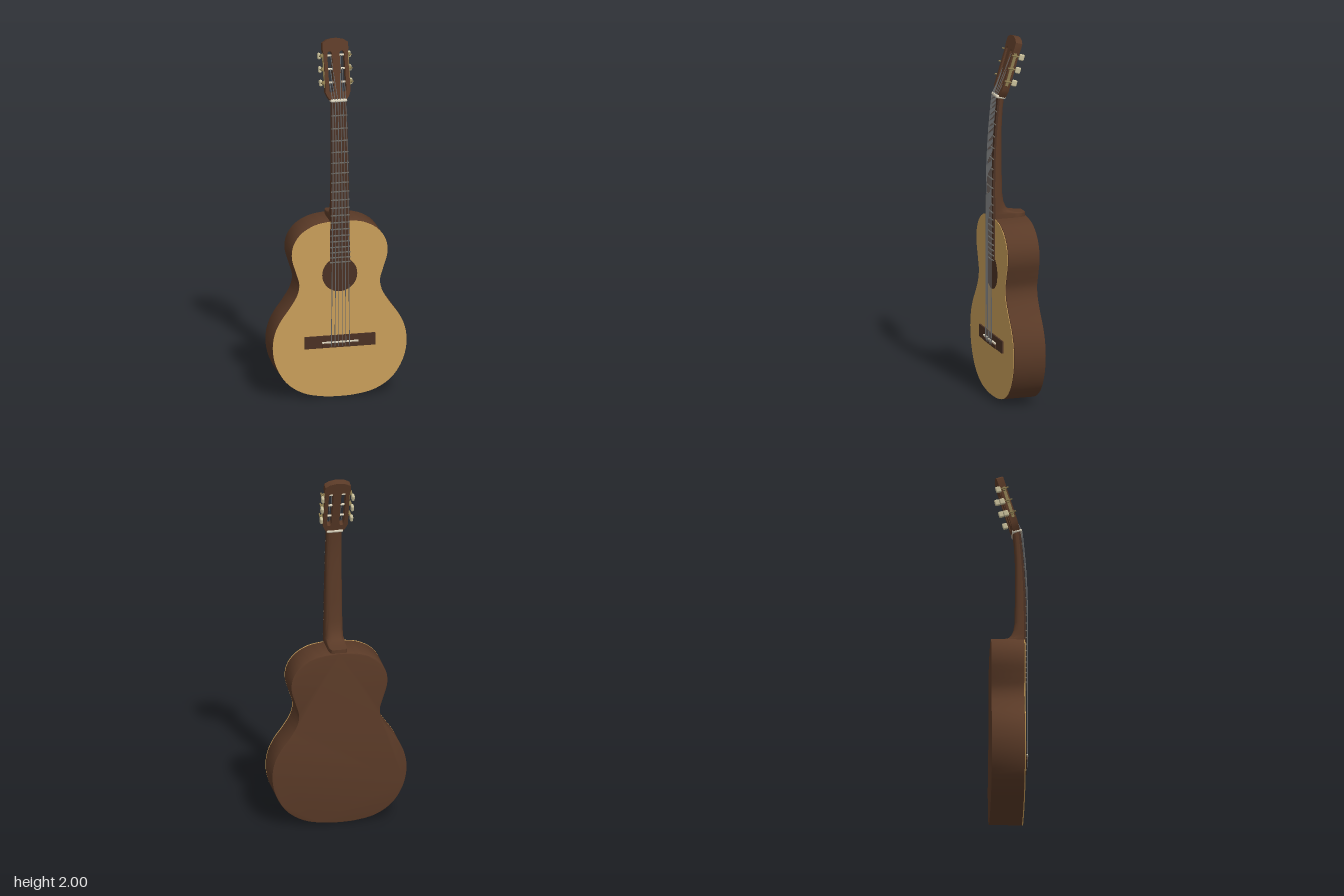
import * as THREE from 'three';
import { toCreasedNormals } from 'three/addons/utils/BufferGeometryUtils.js';
import { RoundedBoxGeometry } from 'three/addons/geometries/RoundedBoxGeometry.js';

const mat = (name, color) => Object.assign(new THREE.MeshStandardMaterial({ color }), { name });

// Solid through a list of closed loops, each counter-clockwise seen from above
function loft(loops) {
  const n = loops[0].length, pos = loops.flat(2), idx = [];
  for (let i = 0; i < loops.length - 1; i++) {
    for (let j = 0; j < n; j++) {
      const k = (j + 1) % n, a = i * n + j, b = i * n + k;
      idx.push(a, b, b + n, a, b + n, a + n);
    }
  }
  const top = (loops.length - 1) * n;
  for (let j = 1; j < n - 1; j++) idx.push(0, j + 1, j, top, top + j, top + j + 1);
  const g = new THREE.BufferGeometry();
  g.setAttribute('position', new THREE.Float32BufferAttribute(pos, 3));
  g.setIndex(idx);
  return toCreasedNormals(g, 0.7);
}

// Mirrored outline from right-hand points, bottom to top, smoothed by a spline
function outline(points, divisions) {
  const right = points.map(([x, y]) => new THREE.Vector3(x, y, 0));
  const left = points.slice(1, -1).reverse().map(([x, y]) => new THREE.Vector3(-x, y, 0));
  const curve = new THREE.CatmullRomCurve3([...right, ...left], true);
  return new THREE.Shape(curve.getPoints(divisions).slice(0, -1).map(p => new THREE.Vector2(p.x, p.y)));
}

// Front surface of the fingerboard and half width of the neck at height y
const NUT = 1.67, SADDLE = 0.315;
const frontZ = y => 0.09 - 0.111 * Math.max(0, y - 1.15) ** 2;
const halfW = y => 0.042 + (NUT - y) * 0.0145;

export function createModel() {
  const wood = mat('brown wood', 0x5a3a27);
  const spruce = mat('light top wood', 0xc99e5a);
  const dark = mat('dark fingerboard wood', 0x4a3124);
  const ivory = mat('ivory', 0xd9d1bb);
  const button = mat('tuner button cream', 0xc6bd98);
  const brass = mat('brass', 0x8c7c50);
  const steel = mat('fret metal', 0x6f6a62);
  const wire = mat('string grey', 0x6c6d6e);

  const guitar = new THREE.Group();
  guitar.name = 'guitar';
  const add = (name, geo, m, x = 0, y = 0, z = 0, parent = guitar) => {
    const mesh = new THREE.Mesh(geo, m);
    mesh.name = name;
    mesh.position.set(x, y, z);
    parent.add(mesh);
    return mesh;
  };

  // Body and its pale top plate
  const bodyShape = outline([[0, 0.002], [0.1, 0.008], [0.2, 0.032], [0.29, 0.092], [0.35, 0.19], [0.37, 0.29],
    [0.358, 0.38], [0.325, 0.45], [0.275, 0.52], [0.234, 0.59], [0.223, 0.65], [0.242, 0.72], [0.264, 0.8],
    [0.257, 0.87], [0.215, 0.935], [0.14, 0.98], [0.06, 0.995], [0, 0.998]], 120);
  const bodyGeo = new THREE.ExtrudeGeometry(bodyShape, { depth: 0.171, bevelThickness: 0.004, bevelSize: 0.004, bevelOffset: -0.004, bevelSegments: 2 });
  add('body', toCreasedNormals(bodyGeo, 0.6), wood, 0, 0, -0.1);
  const plate = new THREE.ExtrudeGeometry(bodyShape, { depth: 0.003, bevelEnabled: false });
  add('topPlate', toCreasedNormals(plate, 0.6), spruce, 0, 0, 0.0775);
  add('soundHole', new THREE.CircleGeometry(0.097, 40), dark, 0, 0.695, 0.0815);

  // Bridge, tie block and saddle
  add('bridge', new THREE.BoxGeometry(0.39, 0.068, 0.009), dark, 0, 0.317, 0.0845);
  add('tieBlock', new THREE.BoxGeometry(0.2, 0.018, 0.01), dark, 0, 0.295, 0.091);
  add('saddle', new THREE.BoxGeometry(0.2, 0.007, 0.016), ivory, 0, SADDLE, 0.091);

  // Neck with a rounded back that flares into the heel: [y, back z]
  const neckRows = [[0.98, -0.099], [1.018, -0.099], [1.021, -0.07], [1.026, -0.035], [1.036, -0.01], [1.055, 0.008],
    [1.085, 0.021], [1.13, 0.028], [1.25, 0.031], [1.4, 0.032], [1.5, 0.031], [1.6, 0.026], [1.68, 0.016]];
  const neckLoops = neckRows.map(([y, back]) => {
    const front = frontZ(y) - 0.01, e = y < 1.03 ? 0.3 : 0.65;
    return Array.from({ length: 17 }, (_, i) => {
      const a = Math.PI * i / 16, c = Math.cos(a);
      return [halfW(y) * Math.sign(c) * Math.abs(c) ** e, y, front - (front - back) * Math.abs(Math.sin(a)) ** e];
    });
  });
  add('neck', loft(neckLoops), wood);

  // Fingerboard follows the bend of the neck
  const boardLoops = Array.from({ length: 13 }, (_, i) => {
    const y = 0.77 + (NUT - 0.77) * i / 12, w = halfW(y), f = frontZ(y), b = f - 0.012;
    return [[w, y, f], [w, y, b], [-w, y, b], [-w, y, f]];
  });
  add('fingerboard', loft(boardLoops), dark);
  for (let n = 1; n <= 19; n++) {
    const y = SADDLE + (NUT - SADDLE) / 2 ** (n / 12);
    add('fret', new THREE.BoxGeometry(halfW(y) * 2 + 0.002, 0.006, 0.006), steel, 0, y, frontZ(y) + 0.001);
  }

  // Nut wraps around the end of the neck
  const nut = add('nut', new RoundedBoxGeometry(0.092, 0.018, 0.056, 2, 0.008), ivory, 0, NUT + 0.002, 0.042);
  nut.rotation.x = -0.2;

  // Slotted headstock, leaning back
  const TILT = -0.29, HEAD_Y = 1.672, HEAD_Z = 0.058;
  const head = new THREE.Group();
  head.name = 'headstock';
  head.position.set(0, HEAD_Y, HEAD_Z);
  head.rotation.x = TILT;
  guitar.add(head);
  const edge = [[0.042, 0], [0.058, 0.024], [0.069, 0.05], [0.068, 0.16], [0.066, 0.25], [0.072, 0.285], [0.07, 0.318], [0.045, 0.334], [0.015, 0.341]];
  const headShape = new THREE.Shape([...edge, ...edge.map(([x, y]) => [-x, y]).reverse()].map(p => new THREE.Vector2(...p)));
  for (const s of [-1, 1]) {
    const slot = new THREE.Path();
    slot.absarc(s * 0.034, 0.258, 0.013, 0, Math.PI);
    slot.absarc(s * 0.034, 0.06, 0.013, Math.PI, 2 * Math.PI);
    slot.closePath();
    headShape.holes.push(slot);
  }
  const headGeo = new THREE.ExtrudeGeometry(headShape, { depth: 0.038, bevelEnabled: false, curveSegments: 10 });
  add('headPlate', toCreasedNormals(headGeo, 0.5), wood, 0, 0, -0.038, head);

  // Tuners: side plate, rollers, posts and buttons
  const pegY = [0.102, 0.175, 0.248], pegZ = -0.016;
  for (const s of [-1, 1]) {
    add('tunerPlate', new THREE.BoxGeometry(0.005, 0.185, 0.016), brass, s * 0.07, 0.168, pegZ, head);
    for (const y of pegY) {
      const roller = add('roller', new THREE.CylinderGeometry(0.006, 0.006, 0.058, 12), ivory, s * 0.044, y, pegZ, head);
      roller.rotation.z = Math.PI / 2;
      const gear = add('gear', new THREE.CylinderGeometry(0.011, 0.011, 0.008, 14), brass, s * 0.077, y, pegZ, head);
      gear.rotation.z = Math.PI / 2;
      const post = add('tunerPost', new THREE.CylinderGeometry(0.004, 0.004, 0.05, 10), brass, s * 0.083, y, -0.018, head);
      post.rotation.x = Math.PI / 2;
      add('tunerButton', new RoundedBoxGeometry(0.017, 0.036, 0.03, 3, 0.008), button, s * 0.083, y, -0.05, head);
    }
  }

  // Six strings, from the tie block over saddle and nut to their rollers
  for (let i = 0; i < 6; i++) {
    const t = i / 2.5 - 1, s = Math.sign(t), rank = i < 3 ? i : 5 - i;
    const py = pegY[rank], px = s * (0.041 - rank * 0.007), pz = pegZ + 0.007;
    const pts = [[t * 0.05, 0.29, 0.094], [t * 0.05, SADDLE, 0.1]];
    for (let y = 0.4; y < NUT; y += 0.12) {
      pts.push([t * (0.05 - 0.014 * (y - SADDLE) / (NUT - SADDLE)), y, frontZ(y) + 0.009]);
    }
    pts.push([t * 0.036, NUT + 0.003, frontZ(NUT) + 0.009]);
    pts.push([px, HEAD_Y + py * Math.cos(TILT) - pz * Math.sin(TILT), HEAD_Z + py * Math.sin(TILT) + pz * Math.cos(TILT)]);
    const path = new THREE.CurvePath();
    const v = pts.map(p => new THREE.Vector3(...p));
    for (let k = 1; k < v.length; k++) path.add(new THREE.LineCurve3(v[k - 1], v[k]));
    add('string', new THREE.TubeGeometry(path, 80, 0.0024 - 0.0001 * i, 6), wire);
  }
  return guitar;
}
